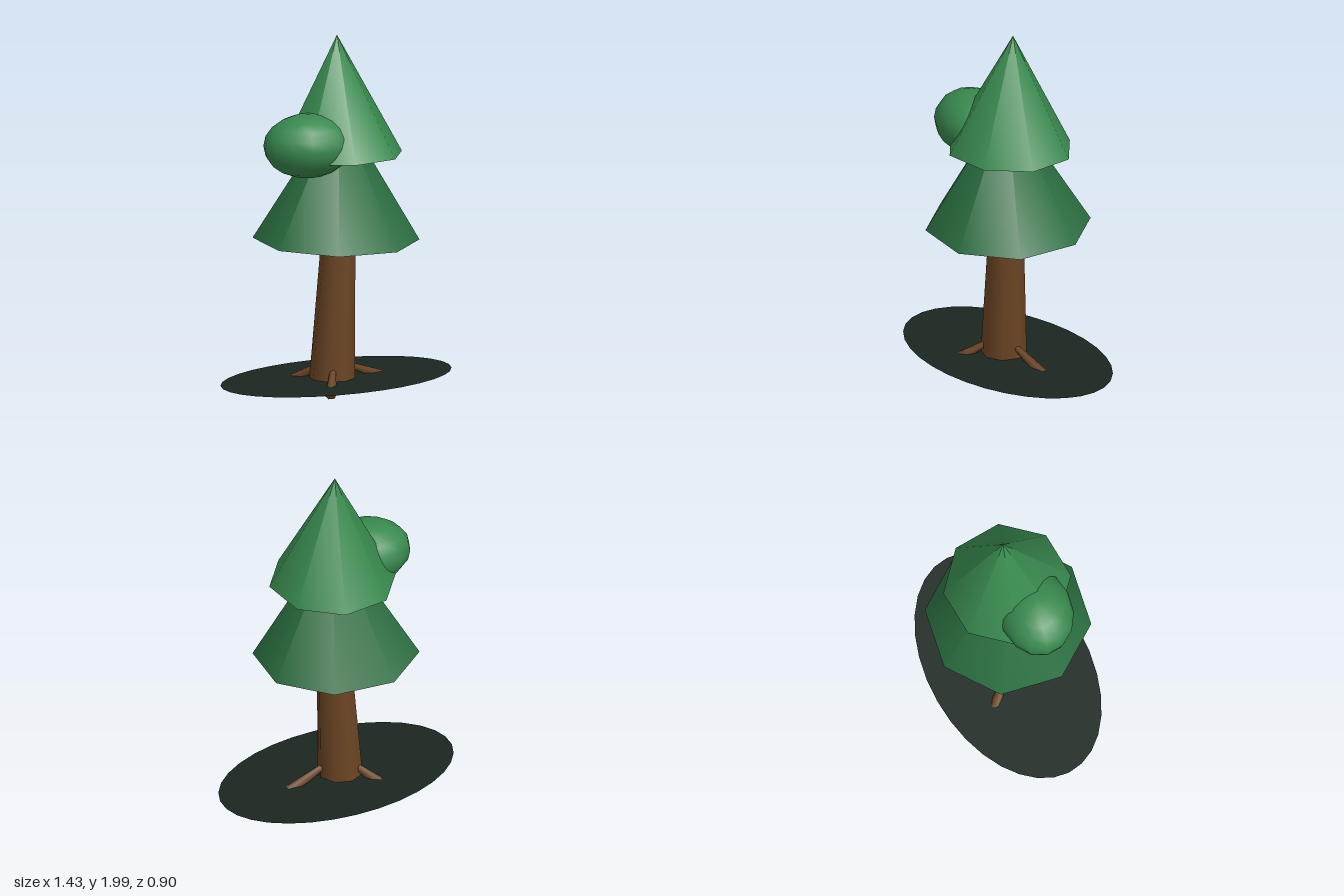
import * as THREE from 'three';

const UP = new THREE.Vector3(0, 1, 0);

function addMesh(group, name, geometry, color) {
  const mesh = new THREE.Mesh(geometry, new THREE.MeshStandardMaterial({ color }));
  mesh.name = name;
  group.add(mesh);
  return mesh;
}

// Tapered round limb running from one point to another
function addLimb(group, name, from, to, rFrom, rTo, sides, color) {
  const a = new THREE.Vector3(...from);
  const dir = new THREE.Vector3(...to).sub(a);
  const geometry = new THREE.CylinderGeometry(rTo, rFrom, dir.length(), sides);
  const mesh = addMesh(group, name, geometry, color);
  mesh.position.copy(a).addScaledVector(dir, 0.5);
  mesh.quaternion.setFromUnitVectors(UP, dir.normalize());
}

// Eight-sided foliage cone, its pivot at the centre of the base
function addTier(group, name, radius, height, position, rotation, color) {
  const geometry = new THREE.ConeGeometry(radius, height, 8).translate(0, height / 2, 0);
  geometry.rotateY(rotation[1]);
  const mesh = addMesh(group, name, geometry, color);
  mesh.position.set(...position);
  mesh.rotation.set(rotation[0], 0, rotation[2]);
}

export function createModel() {
  const group = new THREE.Group();
  group.name = 'tree';
  const bark = 0x6b4423;
  const darkLeaf = 0x2a6e40;
  const lightLeaf = 0x38894e;

  // Flat oval ground patch
  const patch = addMesh(group, 'groundPatch', new THREE.CircleGeometry(1, 32).rotateX(-Math.PI / 2), 0x1a2620);
  patch.material.side = THREE.DoubleSide;
  patch.scale.set(0.713, 1, 0.443);
  patch.position.y = 0.08;

  // Slightly leaning trunk
  addLimb(group, 'trunk', [-0.03, 0.07, 0.005], [0.008, 0.95, 0.018], 0.127, 0.092, 8, bark);

  // Three roots, thicker at their outer ends
  addLimb(group, 'leftRoot', [0.05, 0.152, 0.01], [0.3, 0.054, 0.01], 0.016, 0.032, 6, bark);
  for (const side of [1, -1]) {
    addLimb(group, side > 0 ? 'frontRoot' : 'backRoot',
      [-0.085, 0.135, 0.01 + side * 0.08], [-0.19, 0.038, 0.01 + side * 0.208], 0.018, 0.034, 6, bark);
  }

  // Foliage
  addTier(group, 'lowerFoliage', 0.46, 0.76, [0, 0.858, 0], [0.022, 0.21, -0.008], darkLeaf);
  addTier(group, 'upperFoliage', 0.355, 0.672, [0.02, 1.328, 0.005], [-0.036, 0.43, 0], lightLeaf);

  // Rounded clump on the right side of the crown
  const clump = addMesh(group, 'sideFoliage', new THREE.SphereGeometry(1, 14, 10), lightLeaf);
  clump.scale.set(0.255, 0.178, 0.207);
  clump.position.set(-0.225, 1.418, 0.053);
  clump.rotation.y = -0.22;

  return group;
}
